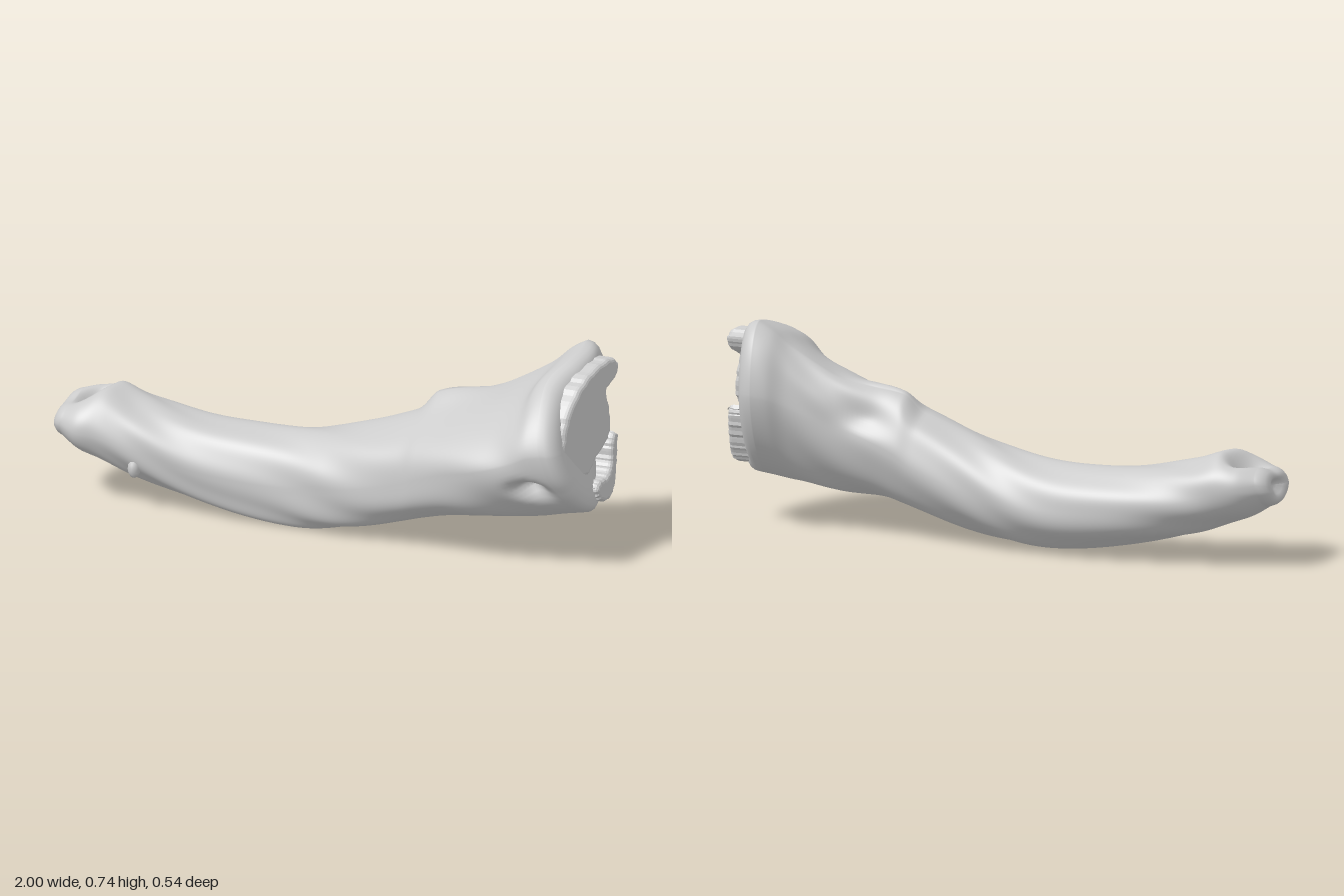
import * as THREE from 'three';

// Stations along the shaft: x, bottom y, top y, back z, front z, z of bottom, z of top, y of front, y of back
const STATIONS = [
  [-0.965, 0.215, 0.365, -0.105, 0.135, 0.03, -0.01, 0.29, 0.31],
  [-0.90, 0.175, 0.392, -0.14, 0.165, 0.03, -0.01, 0.27, 0.30],
  [-0.82, 0.145, 0.408, -0.155, 0.158, 0.03, -0.02, 0.26, 0.28],
  [-0.70, 0.10, 0.365, -0.168, 0.148, 0.03, -0.02, 0.23, 0.24],
  [-0.50, 0.05, 0.325, -0.18, 0.13, 0.04, -0.02, 0.18, 0.19],
  [-0.30, 0.013, 0.315, -0.19, 0.125, 0.05, -0.03, 0.16, 0.17],
  [-0.14, 0.002, 0.322, -0.187, 0.13, 0.05, -0.03, 0.16, 0.17],
  [0.00, 0.014, 0.348, -0.183, 0.15, 0.05, -0.03, 0.18, 0.19],
  [0.15, 0.045, 0.395, -0.178, 0.172, 0.04, -0.03, 0.21, 0.23],
  [0.29, 0.085, 0.45, -0.175, 0.19, 0.03, -0.04, 0.25, 0.28],
  [0.36, 0.105, 0.477, -0.175, 0.207, 0.02, -0.06, 0.28, 0.32],
  [0.46, 0.128, 0.51, -0.175, 0.23, 0.02, -0.08, 0.32, 0.36],
  [0.60, 0.138, 0.57, -0.185, 0.258, 0.01, -0.10, 0.36, 0.41],
  [0.75, 0.158, 0.65, -0.22, 0.27, 0.0, -0.12, 0.41, 0.47],
  [0.83, 0.175, 0.71, -0.258, 0.27, -0.01, -0.135, 0.44, 0.50],
  [0.89, 0.185, 0.742, -0.275, 0.265, -0.02, -0.14, 0.45, 0.51],
];
const SEG = 96;
const STEPS = 9;

const gauss = (d2, r) => Math.exp(-d2 / (r * r));
const ramp = THREE.MathUtils.smoothstep;

// Smooth interpolation of every station value
function stationAt(u) {
  const n = STATIONS.length - 1;
  const i = Math.min(Math.floor(u), n - 1);
  const t = u - i;
  const at = (k) => STATIONS[Math.max(0, Math.min(n, k))];
  return STATIONS[0].map((_, k) => {
    const p0 = at(i - 1)[k], p1 = at(i)[k], p2 = at(i + 1)[k], p3 = at(i + 2)[k];
    const m1 = (p2 - p0) / 2, m2 = (p3 - p1) / 2;
    return p1 + m1 * t + (3 * (p2 - p1) - 2 * m1 - m2) * t * t + (2 * (p1 - p2) + m1 + m2) * t * t * t;
  });
}

// One ring: four elliptical arcs through the extreme points, scaled towards the middle and moved along x
function ring(u, scale, dx) {
  const [x, yb, yt, z0, z1, zb, zt, yf, yk] = stationAt(u);
  const cy = (yb + yt) / 2, cz = (z0 + z1) / 2;
  const pts = [];
  for (let j = 0; j < SEG; j++) {
    const a = (j / SEG) * Math.PI * 2;
    const c = Math.cos(a), s = Math.sin(a);
    // Upper front and lower back flatten towards the broad end, lower front is squarer along the shaft
    let p = c * s > 0 ? 1 + 0.25 * ramp(x, 0.2, 0.9) : 1;
    if (c > 0 && s < 0) p = 1 - 0.22 * ramp(x, -0.8, -0.3) * (1 - ramp(x, 0.4, 0.8));
    const zm = s > 0 ? zt : zb, ym = c > 0 ? yf : yk;
    let z = zm + Math.abs(c) ** p * ((c > 0 ? z1 : z0) - zm);
    let y = ym + Math.abs(s) ** p * ((s > 0 ? yt : yb) - ym);
    // Grooves winding along the shaft
    const g = 0.003 * Math.sin(x * 13 + a * 7 + Math.sin(x * 9)) * ramp(x, -0.95, -0.7) * (1 - ramp(x, 0.7, 0.88));
    // Pit on the front and hollow on the back below the ridge
    const pit = c > 0 ? 0.06 * gauss((x - 0.8) ** 2 * 0.5 + (y - 0.31) ** 2 * 1.6, 0.038) : 0;
    const hollow = c < 0 ? 0.03 * gauss((x - 0.47) ** 2 * 0.3 + (y - 0.44) ** 2, 0.06) : 0;
    const k = 1 + (g - pit - hollow) / Math.hypot(y - cy, z - cz);
    z = cz + (z - cz) * k * scale;
    y = cy + (y - cy) * k * scale;
    if (s > 0) {
      // Ridge on top, and the diagonal cavity in the narrow end
      y += 0.045 * ramp(x, 0.29, 0.36) * (1 - ramp(x, 0.38, 0.62)) * gauss((z + 0.07) ** 2, 0.07);
      const along = 0.6 * (x + 0.9) - 0.8 * (z + 0.01), across = 0.8 * (x + 0.9) + 0.6 * (z + 0.01);
      y -= 0.085 * scale * gauss(along * along * 0.3 + across * across, 0.04);
    }
    // Both ends are cut at a slant
    const slantLow = 0.25 * Math.max(0, y - 0.28) * (1 - ramp(x, -0.97, -0.78));
    const slantHigh = (0.15 * Math.min(z, 0) - 0.1 * Math.max(z, 0) - 0.3 * (y - 0.42) * ramp(z, -0.12, 0.12)) * ramp(x, 0.65, 0.89);
    // Valley across the broken end
    const valley = u > 14 && scale < 1 ? 0.02 * gauss((z + 0.1) ** 2 + (y - 0.5) ** 2 * 0.4, 0.06) : 0;
    pts.push(x + dx + slantLow + slantHigh - valley, y, z);
  }
  return pts;
}

function shaftGeometry() {
  const last = STATIONS.length - 1;
  const rings = [];
  // Rounded narrow end with a shallow dish
  for (const [s, dx] of [[0.001, -0.01], [0.2, -0.012], [0.4, -0.025], [0.55, -0.034], [0.7, -0.033], [0.82, -0.028], [0.92, -0.018], [0.98, -0.007]]) {
    rings.push(ring(0, s, dx));
  }
  for (let i = 0; i <= last * STEPS; i++) rings.push(ring(i / STEPS, 1, 0));
  // Rounded broad end
  for (const [s, dx] of [[0.985, 0.02], [0.95, 0.035], [0.89, 0.047], [0.78, 0.053], [0.6, 0.05], [0.45, 0.045], [0.3, 0.042], [0.15, 0.04], [0.001, 0.04]]) {
    rings.push(ring(last, s, dx));
  }
  const index = [];
  for (let i = 0; i < rings.length - 1; i++) {
    for (let j = 0; j < SEG; j++) {
      const a = i * SEG + j, b = i * SEG + ((j + 1) % SEG);
      index.push(a, a + SEG, b, b, a + SEG, b + SEG);
    }
  }
  const geo = new THREE.BufferGeometry();
  geo.setAttribute('position', new THREE.Float32BufferAttribute(rings.flat(), 3));
  geo.setIndex(index);
  geo.computeVertexNormals();
  return geo;
}

// Raised plate on the broad end, outlined in (z, y), with a chipped edge and leaning with the cut
function plateGeometry(outline, faceX, leanZ, leanY) {
  const curve = new THREE.CatmullRomCurve3(outline.map(([z, y]) => new THREE.Vector3(-z, y, 0)), true);
  const edge = curve.getPoints(80).slice(0, -1).map((p, i) => new THREE.Vector2(
    p.x + 0.002 * Math.sin(i * 2.3), p.y + 0.002 * Math.sin(i * 1.7 + 1)));
  const geo = new THREE.ExtrudeGeometry(new THREE.Shape(edge), {
    depth: 0.08, bevelSize: 0.014, bevelOffset: -0.012, bevelThickness: 0.016, bevelSegments: 3,
  });
  geo.rotateY(Math.PI / 2);
  const pos = geo.attributes.position;
  for (let i = 0; i < pos.count; i++) {
    const lean = leanZ * pos.getZ(i) + leanY * (pos.getY(i) - 0.5);
    pos.setX(i, pos.getX(i) + faceX - 0.096 - lean);
  }
  geo.computeVertexNormals();
  return geo;
}

export function createModel() {
  const group = new THREE.Group();
  group.name = 'boneFragment';
  const material = new THREE.MeshStandardMaterial({ color: 0xcccccc });
  const add = (name, geo) => {
    const mesh = new THREE.Mesh(geo, material);
    mesh.name = name;
    group.add(mesh);
    return mesh;
  };

  add('shaft', shaftGeometry());

  add('largeEndPlate', plateGeometry([
    [-0.145, 0.67], [-0.12, 0.70], [-0.07, 0.70], [0, 0.68], [0.07, 0.64], [0.14, 0.57], [0.18, 0.49], [0.2, 0.42],
    [0.15, 0.38], [0.1, 0.34], [0.06, 0.34], [0.02, 0.38], [-0.04, 0.42], [-0.07, 0.46], [-0.075, 0.54], [-0.07, 0.6], [-0.12, 0.63],
  ], 0.963, 0.3, 0.1));

  add('smallEndPlate', plateGeometry([
    [0.06, 0.28], [0.03, 0.3], [-0.03, 0.3], [-0.07, 0.33], [-0.09, 0.4], [-0.12, 0.43],
    [-0.13, 0.4], [-0.11, 0.32], [-0.08, 0.25], [-0.03, 0.22], [0.04, 0.24],
  ], 0.975, 0.05, 0.08));

  // Small crumb stuck on the front near the narrow end
  const nub = add('surfaceNub', new THREE.IcosahedronGeometry(0.028, 1));
  nub.scale.set(0.8, 1.3, 0.9);
  nub.position.set(-0.69, 0.16, 0.13);
  return group;
}
